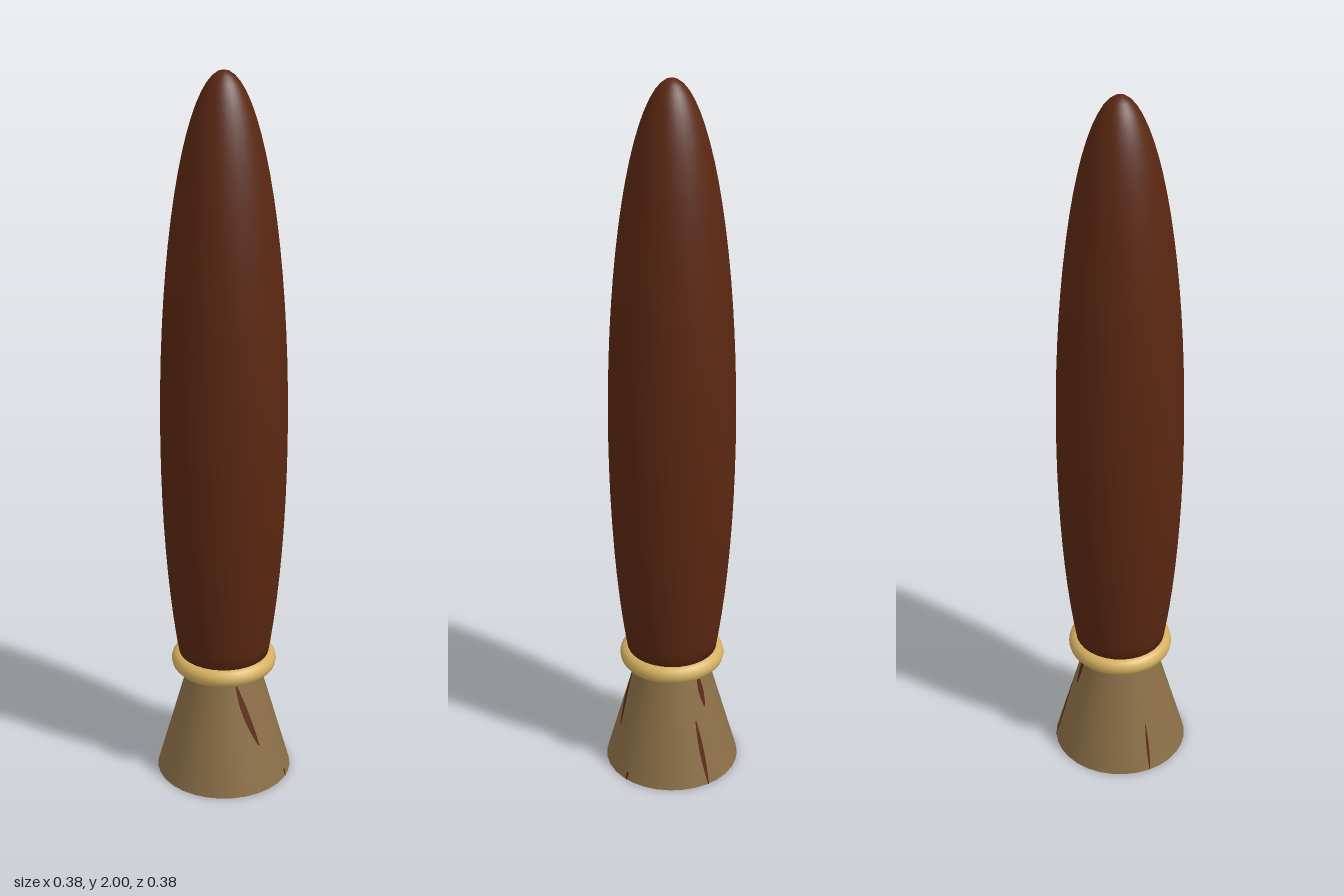
import * as THREE from 'three';

const brown = new THREE.MeshStandardMaterial({ color: 0x5a2711 });
brown.name = 'darkBrown';
const tan = new THREE.MeshStandardMaterial({ color: 0x8b6f47 });
tan.name = 'tanWood';
const gold = new THREE.MeshStandardMaterial({ color: 0xd4b060 });
gold.name = 'paleGold';

const HANDLE = { bottom: 0.19, top: 0.093, height: 0.35 };
const handleRadius = (y) => THREE.MathUtils.lerp(HANDLE.bottom, HANDLE.top, y / HANDLE.height);

function add(group, name, geometry, material) {
  const mesh = new THREE.Mesh(geometry, material);
  mesh.name = name;
  group.add(mesh);
  return mesh;
}

// Thin streak lying on the handle, tapering from a middle bulge to both ends
function streakGeometry(a0, y0, a1, y1, width) {
  const steps = 8, positions = [], index = [];
  for (let i = 0; i <= steps; i++) {
    const t = i / steps;
    const y = THREE.MathUtils.lerp(y0, y1, t);
    const r = handleRadius(y) + 0.0015;
    const a = THREE.MathUtils.lerp(a0, a1, t);
    const half = (width / 2) * (0.25 + 0.75 * Math.sin(Math.PI * t)) / r;
    for (const s of [-1, 1]) positions.push(r * Math.sin(a + s * half), y, r * Math.cos(a + s * half));
    if (i < steps) {
      const k = i * 2;
      index.push(k, k + 2, k + 1, k + 1, k + 2, k + 3);
    }
  }
  const g = new THREE.BufferGeometry();
  g.setAttribute('position', new THREE.Float32BufferAttribute(positions, 3));
  g.setIndex(index);
  g.computeVertexNormals();
  return g;
}

export function createModel() {
  const model = new THREE.Group();
  model.name = 'taperedClub';

  // Flared handle with a closed foot
  const handle = add(model, 'handle',
    new THREE.CylinderGeometry(HANDLE.top, HANDLE.bottom, HANDLE.height, 32), tan);
  handle.position.y = HANDLE.height / 2;

  // Long elliptical head, cut off inside the collar
  const centre = 1.03, halfHeight = 0.97, radius = 0.171;
  const start = Math.asin((0.35 - centre) / halfHeight);
  const profile = [new THREE.Vector2(0, 0.35)];
  for (let i = 0; i <= 28; i++) {
    const a = THREE.MathUtils.lerp(start, Math.PI / 2, i / 28);
    profile.push(new THREE.Vector2(Math.max(0, radius * Math.cos(a)), centre + halfHeight * Math.sin(a)));
  }
  add(model, 'head', new THREE.LatheGeometry(profile, 32), brown);

  // Collar ring
  const collar = add(model, 'collar', new THREE.TorusGeometry(0.12, 0.027, 14, 40), gold);
  collar.rotation.x = Math.PI / 2;
  collar.position.y = 0.348;

  // Dark streaks: start angle, start height, end angle, end height, width
  const streaks = [
    [-0.39, 0.31, -0.03, 0.13, 0.02],
    [1.97, 0.32, 2.0, 0.22, 0.018],
    [1.72, 0.19, 1.79, 0.0, 0.014],
    [-2.52, 0.14, -2.55, 0.0, 0.008],
    [0.46, 0.025, 0.46, 0.0, 0.008],
  ];
  streaks.forEach((s, i) => add(model, `streak${i + 1}`, streakGeometry(...s), brown));

  return model;
}
